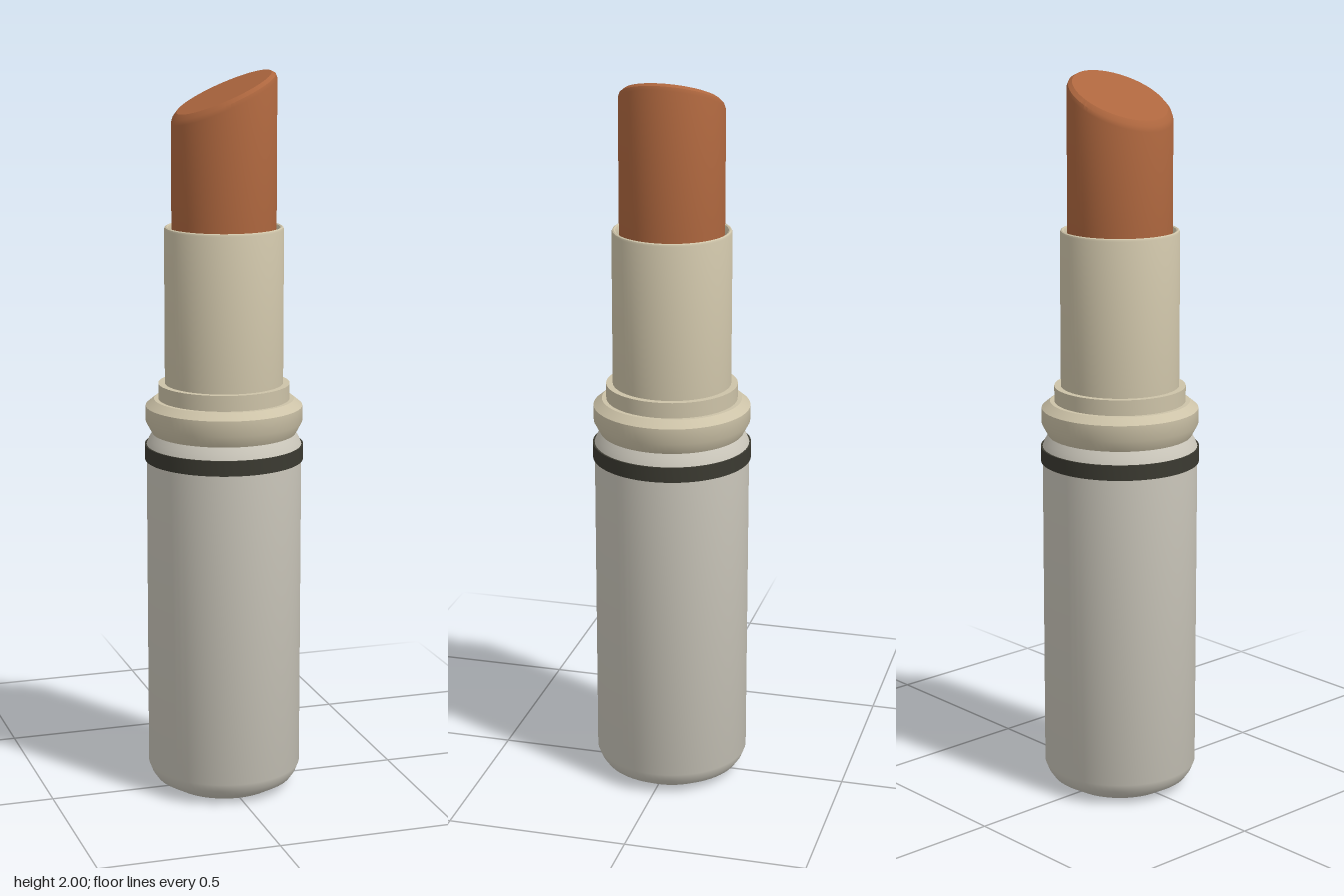
import * as THREE from 'three';
import { toCreasedNormals } from 'three/addons/utils/BufferGeometryUtils.js';

const SEGMENTS = 72;

// Revolve a [radius, height] profile about the y axis
function revolve(profile) {
  return new THREE.LatheGeometry(profile.map(([r, y]) => new THREE.Vector2(r, y)), SEGMENTS);
}

function part(name, geometry, color) {
  const mesh = new THREE.Mesh(toCreasedNormals(geometry, 0.5), new THREE.MeshStandardMaterial({ color }));
  mesh.name = name;
  return mesh;
}

export function createModel() {
  const group = new THREE.Group();
  group.name = 'lipstick';
  const grey = 0xcbc7bb, cream = 0xcdc3a8, dark = 0x3b3a31, wax = 0xad663e;

  // Base barrel with a chamfered foot
  group.add(part('baseBarrel', revolve([
    [0, 0], [0.148, 0], [0.192, 0.025], [0.204, 0.042], [0.213, 0.065], [0.213, 0.945], [0, 0.945],
  ]), grey));

  // Dark band standing slightly proud of the barrel
  group.add(part('darkBand', revolve([
    [0, 0.943], [0.218, 0.943], [0.218, 0.985], [0, 0.985],
  ]), dark));

  // Grey neck narrowing into the groove
  group.add(part('neck', revolve([
    [0.213, 0.985], [0.207, 1.0], [0.195, 1.02], [0, 1.02],
  ]), grey));

  // Flared collar with a stepped ring
  group.add(part('collar', revolve([
    [0, 1.018], [0.198, 1.018], [0.215, 1.05], [0.215, 1.093],
    [0.192, 1.112], [0.18, 1.112], [0.18, 1.155], [0, 1.155],
  ]), cream));

  // Open inner tube with a rounded lip
  group.add(part('innerTube', revolve([
    [0.162, 1.15], [0.162, 1.578], [0.16, 1.583], [0.156, 1.585], [0.152, 1.583],
    [0.148, 1.575], [0.147, 1.56], [0.147, 1.2], [0, 1.2],
  ]), cream));

  // Wax bullet: the upper rows are sheared to make the slanted, bevelled tip
  const bullet = revolve([
    [0, 1.2], [0.142, 1.2], [0.142, 1.6], [0.142, 1.922], [0.138, 1.934], [0.127, 1.944], [0, 1.944],
  ]);
  const pos = bullet.attributes.position;
  for (let i = 0; i < pos.count; i++) {
    if (pos.getY(i) > 1.7) pos.setY(i, pos.getY(i) + 0.44 * pos.getX(i));
  }
  group.add(part('bullet', bullet, wax));

  return group;
}
